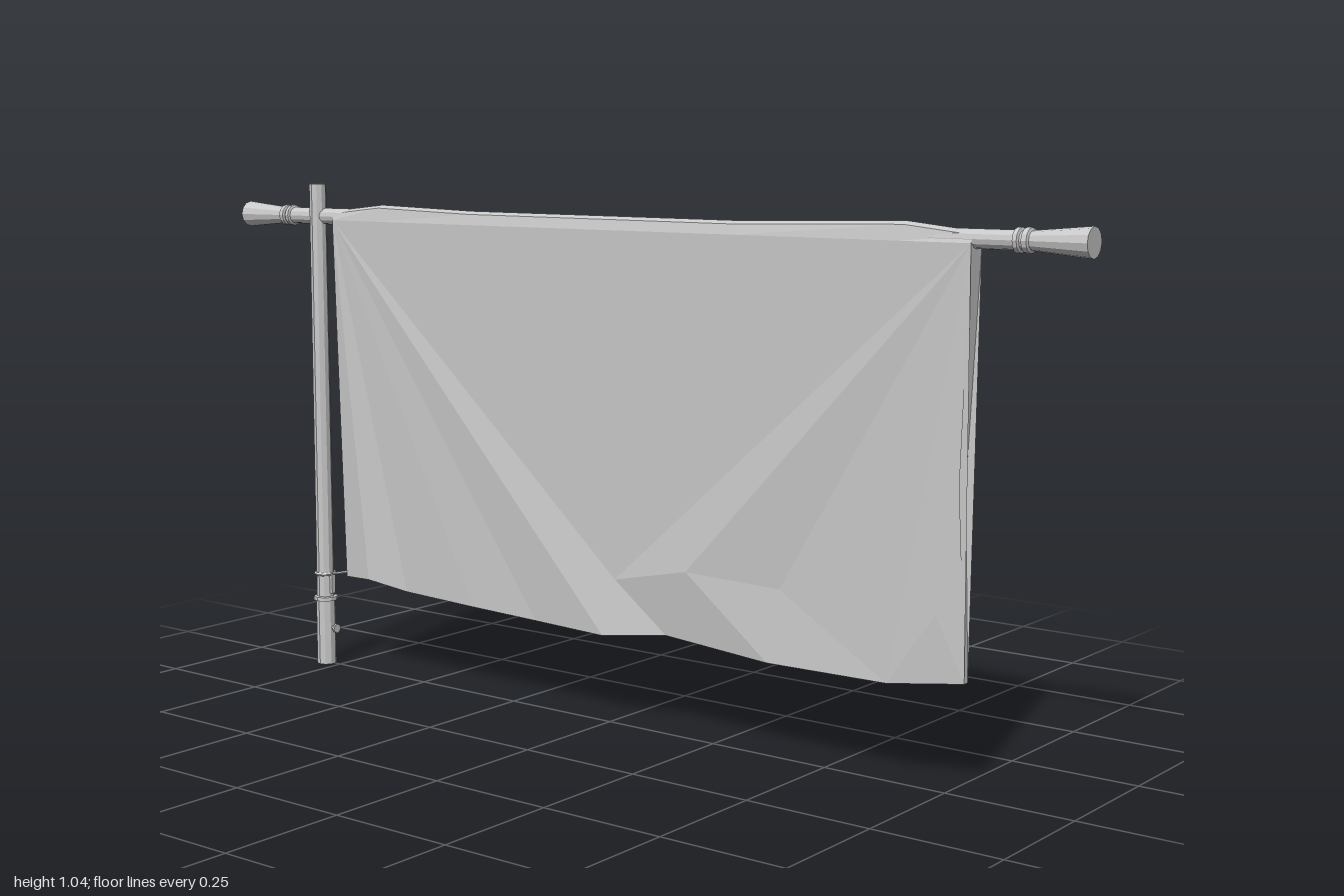
import * as THREE from 'three';

const grey = new THREE.MeshStandardMaterial({ color: 0xc8c8c8, flatShading: true, side: THREE.DoubleSide });
grey.name = 'plain grey';

function add(parent, name, geometry, x = 0, y = 0, z = 0) {
  const mesh = new THREE.Mesh(geometry, grey);
  mesh.name = name;
  mesh.position.set(x, y, z);
  parent.add(mesh);
  return mesh;
}

const lathe = (profile, sides) =>
  new THREE.LatheGeometry(profile.map(([r, y]) => new THREE.Vector2(r, y)), sides);

// Points of the cloth front: x, y, z
const points = {
  topLeft: [-0.73, 0.965, 0.018], sideL: [-0.715, 0.6, 0.012], cornerL: [-0.72, 0.2, 0.004],
  b1: [-0.64, 0.205, 0.018], b2: [-0.54, 0.19, 0.006], b3: [-0.35, 0.185, 0.012],
  b4: [-0.18, 0.18, 0.012], b5: [0, 0.178, 0.024], b6: [0.14, 0.195, 0.004],
  b7: [0.38, 0.18, 0.014], b8: [0.64, 0.185, 0.022], cornerR: [0.78, 0.2, -0.006],
  sideR: [0.77, 0.55, 0.012], topRight: [0.785, 0.965, 0.018],
  foldA: [0.02, 0.29, 0.01], foldB: [0.2, 0.33, 0.024], foldC: [0.4, 0.32, 0.006], foldD: [0.73, 0.32, 0.012],
};

// Folds radiate as fans, each from its first point
const fans = [
  'topLeft sideL cornerL b1 b2 b3 b4 b5 foldA topRight',
  'topRight foldA foldB foldC b8 foldD cornerR sideR',
  'foldA b5 b6 b7 foldB',
  'foldC foldB b7 b8',
  'b8 cornerR foldD',
].map((s) => s.split(' '));
const outline = 'topLeft sideL cornerL b1 b2 b3 b4 b5 b6 b7 b8 cornerR sideR topRight'.split(' ');

const front = (name) => points[name];
const back = (name) => {
  const [x, y, z] = points[name];
  return [x, y, z - 0.012 - 0.026 * (y - 0.18) / 0.78];
};

function clothGeometry() {
  const pos = [];
  const tri = (a, b, c) => pos.push(...a, ...b, ...c);
  const quad = (a, b, c, d) => { tri(a, b, c); tri(a, c, d); };

  // Front and back sheets
  for (const [pivot, ...rim] of fans) {
    for (let i = 0; i < rim.length - 1; i++) {
      tri(front(pivot), front(rim[i]), front(rim[i + 1]));
      tri(back(pivot), back(rim[i + 1]), back(rim[i]));
    }
  }
  // Hem along the sides and bottom
  for (let i = 0; i < outline.length - 1; i++) {
    const [a, b] = [outline[i], outline[i + 1]];
    quad(front(a), back(a), back(b), front(b));
  }
  // Sleeve over the crossbar
  const ridge = [[-0.73, 0.985], [-0.6, 0.999], [-0.35, 0.992], [0.3, 0.99], [0.65, 0.999], [0.785, 0.985]];
  const section = ([x, y]) => [
    [x, 0.965, 0.018], [x, y - 0.006, 0.013], [x, y, 0], [x, y - 0.006, -0.015], [x, 0.965, -0.02],
  ];
  for (let i = 0; i < ridge.length - 1; i++) {
    const a = section(ridge[i]), b = section(ridge[i + 1]);
    for (let j = 0; j < 4; j++) quad(a[j], b[j], b[j + 1], a[j + 1]);
  }
  const geometry = new THREE.BufferGeometry();
  geometry.setAttribute('position', new THREE.Float32BufferAttribute(pos, 3));
  geometry.computeVertexNormals();
  return geometry;
}

export function createModel() {
  const model = new THREE.Group();
  model.name = 'banner';

  // Upright pole with a socket foot
  const pole = new THREE.Group();
  pole.name = 'pole';
  pole.position.set(-0.785, 0, 0.005);
  model.add(pole);
  add(pole, 'poleShaft', lathe([[0, 0], [0.021, 0], [0.021, 0.14], [0.026, 0.141], [0.026, 0.149],
    [0.019, 0.15], [0.018, 1.04], [0, 1.04]], 10));
  const tie = add(pole, 'tieRing', new THREE.TorusGeometry(0.021, 0.004, 5, 12), 0, 0.2, 0);
  tie.rotation.x = Math.PI / 2;
  add(pole, 'cleat', new THREE.BoxGeometry(0.008, 0.06, 0.01), -0.018, 0.22, 0);
  add(pole, 'catch', new THREE.BoxGeometry(0.008, 0.045, 0.01), 0.021, 0.18, 0);
  const stem = add(pole, 'screwStem', new THREE.CylinderGeometry(0.004, 0.004, 0.014, 6), 0.024, 0.08, 0);
  const knob = add(pole, 'screwKnob', new THREE.CylinderGeometry(0.01, 0.01, 0.005, 8), 0.031, 0.08, 0);
  stem.rotation.z = knob.rotation.z = Math.PI / 2;

  // Cord from the pole to the cloth corner
  const cord = new THREE.CatmullRomCurve3([
    new THREE.Vector3(-0.768, 0.2, 0.005), new THREE.Vector3(-0.74, 0.205, 0.003), new THREE.Vector3(-0.712, 0.212, 0),
  ]);
  add(model, 'cord', new THREE.TubeGeometry(cord, 4, 0.003, 5));

  // Crossbar with flared, ringed ends
  const end = [[0, 1], [0.027, 1], [0.017, 0.89], [0.022, 0.888], [0.022, 0.878], [0.017, 0.876],
    [0.017, 0.872], [0.022, 0.87], [0.022, 0.862], [0.017, 0.86]];
  const profile = [...end.map(([r, y]) => [r, -y]), ...[...end].reverse()];
  const bar = add(model, 'crossbar', lathe(profile, 12), 0, 0.972, -0.001);
  bar.rotation.z = -Math.PI / 2;

  add(model, 'cloth', clothGeometry());
  return model;
}
